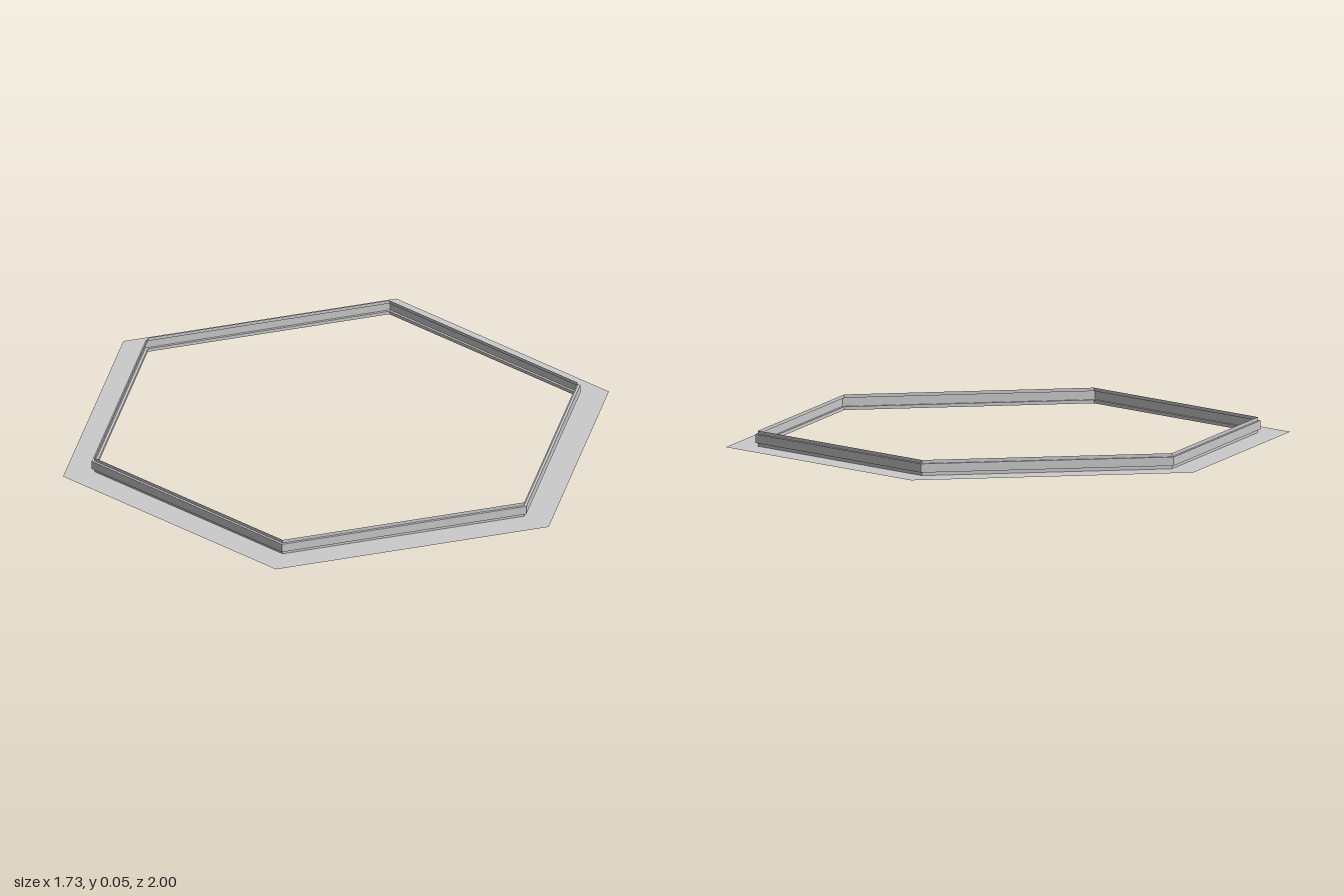
import * as THREE from 'three';

const SIDES = 6;

// Sweeps an (radius, height) profile around a hexagon with corners on the z axis
function hexSweep(name, profile, material) {
  const points = profile.map(([r, y]) => new THREE.Vector2(r, y));
  const geometry = new THREE.LatheGeometry(points, SIDES).toNonIndexed();
  geometry.computeVertexNormals();
  const mesh = new THREE.Mesh(geometry, material);
  mesh.name = name;
  return mesh;
}

export function createModel() {
  const group = new THREE.Group();
  group.name = 'hexagonalFrame';
  const material = new THREE.MeshStandardMaterial({
    color: 0xcccccc, flatShading: true, side: THREE.DoubleSide,
  });

  // Thin flat flange lying on the ground
  group.add(hexSweep('flange', [[1, 0], [0.885, 0]], material));

  // Upright inner rim with a shallow stepped channel around its middle
  group.add(hexSweep('innerRim', [
    [0.885, 0], [0.885, 0.012],
    [0.895, 0.012], [0.895, 0.043],
    [0.885, 0.043], [0.885, 0.055],
  ], material));

  return group;
}
